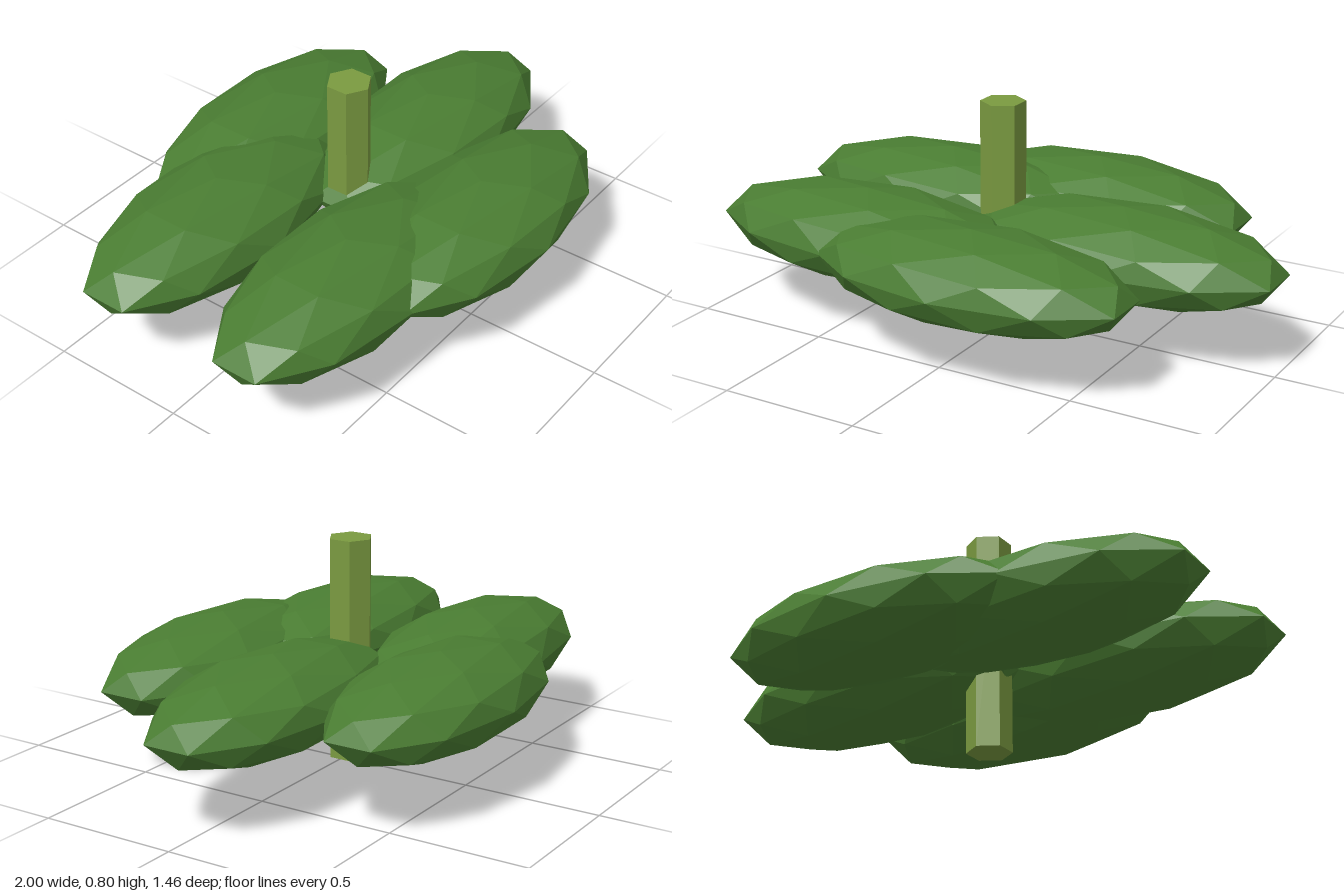
import * as THREE from 'three';

export function createModel() {
  const model = new THREE.Group();
  model.name = 'plant';

  const leafGreen = new THREE.MeshStandardMaterial({ color: 0x4a7d32, flatShading: true });
  leafGreen.name = 'leaf green';
  const stemGreen = new THREE.MeshStandardMaterial({ color: 0x7a9a40, flatShading: true });
  stemGreen.name = 'stem green';

  const centreX = -0.046;

  // Six-sided upright stem
  const stem = new THREE.Mesh(new THREE.CylinderGeometry(0.08, 0.08, 0.8, 6), stemGreen);
  stem.name = 'stem';
  stem.position.set(centreX, 0.4, 0);
  model.add(stem);

  // Faceted leaf clump: icosphere turned so a corner points up, then stretched along x
  const clump = new THREE.IcosahedronGeometry(1, 1);
  clump.rotateZ(-Math.atan(2 / (1 + Math.sqrt(5))));
  clump.scale(0.603, 0.162, 0.28);

  // Five parallel clumps in a ring round the stem
  const ringRadius = 0.473;
  for (let i = 0; i < 5; i++) {
    const angle = (i / 5) * Math.PI * 2;
    const leaf = new THREE.Mesh(clump, leafGreen);
    leaf.name = `leafClump${i + 1}`;
    leaf.position.set(centreX + ringRadius * Math.cos(angle), 0.336, ringRadius * Math.sin(angle));
    model.add(leaf);
  }

  return model;
}
